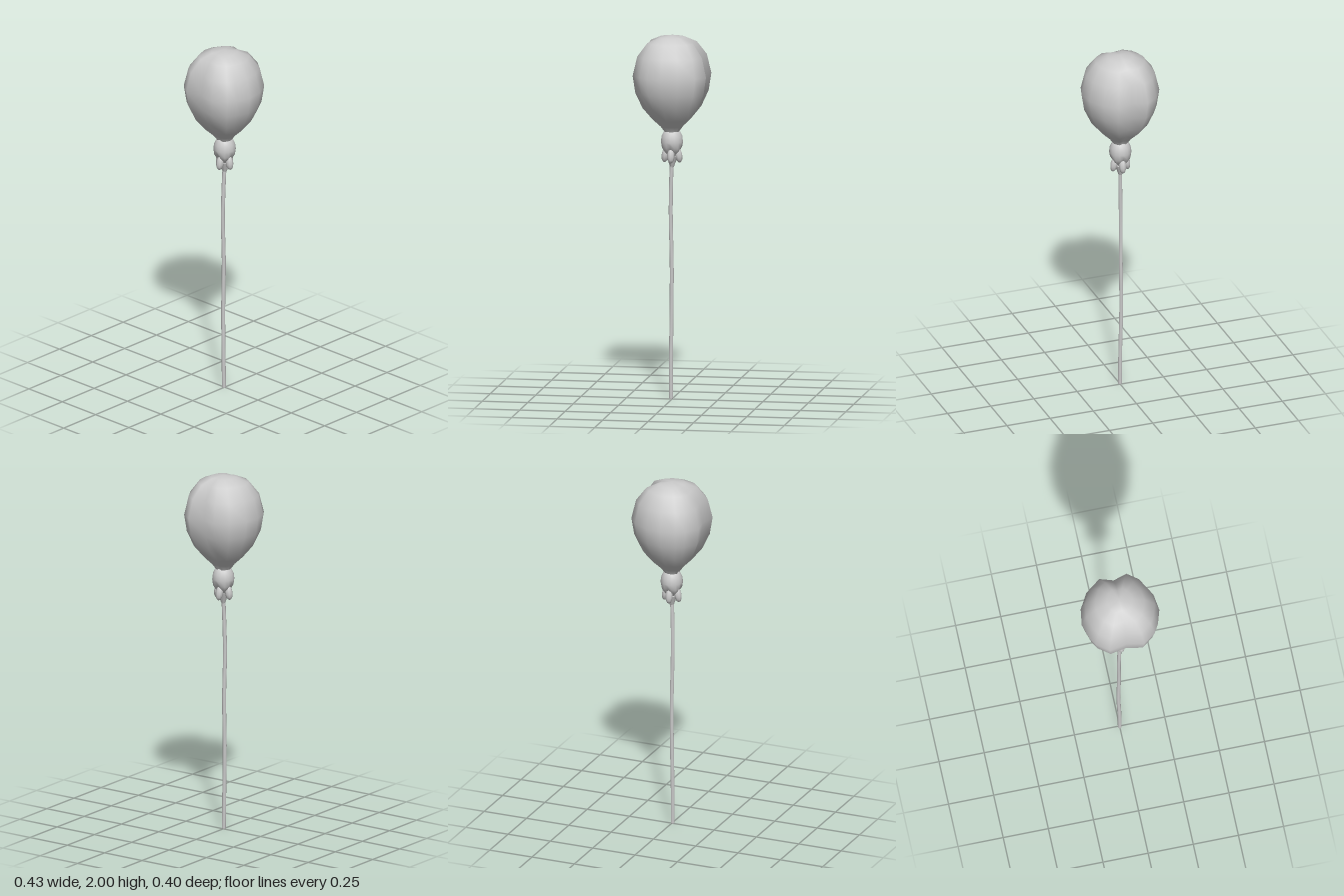
import * as THREE from 'three';
import { mergeVertices } from 'three/addons/utils/BufferGeometryUtils.js';

const material = new THREE.MeshStandardMaterial({ color: 0xcccccc });

function addMesh(parent, name, geometry) {
  const mesh = new THREE.Mesh(geometry, material);
  mesh.name = name;
  parent.add(mesh);
  return mesh;
}

// Lathe whose vertices are moved by a rule, with smooth normals across the seam
function shapedLathe(profile, sides, rule) {
  let g = new THREE.LatheGeometry(profile.map(([r, y]) => new THREE.Vector2(r, y)), sides);
  const p = g.attributes.position;
  const v = new THREE.Vector3();
  for (let i = 0; i < p.count; i++) {
    v.fromBufferAttribute(p, i);
    rule(v);
    p.setXYZ(i, v.x, v.y, v.z);
  }
  g.deleteAttribute('uv');
  g.deleteAttribute('normal');
  g = mergeVertices(g, 1e-5);
  g.computeVertexNormals();
  return g;
}

export function createModel() {
  const model = new THREE.Group();

  // Rounded head, narrowing to a neck, creased down the front and back
  const headProfile = [
    [0.03, 1.44], [0.04, 1.47], [0.062, 1.5], [0.105, 1.54], [0.16, 1.605], [0.2, 1.69],
    [0.215, 1.785], [0.19, 1.89], [0.135, 1.962], [0.07, 1.99], [0, 2],
  ];
  // Half outline from front to back at the widest level, as x and z
  const outline = [
    [0, 0.182], [0.095, 0.2], [0.163, 0.15], [0.19, 0.105], [0.215, 0.025],
    [0.202, -0.065], [0.152, -0.152], [0.085, -0.202], [0, -0.175],
  ];
  const outlineAt = (a) => {
    const t = Math.abs(a) / Math.PI * 8;
    const i = Math.min(7, Math.floor(t + 1e-4));
    const f = Math.max(0, t - i);
    const mix = (k) => outline[i][k] * (1 - f) + outline[i + 1][k] * f;
    return [Math.sign(a) * mix(0), mix(1)];
  };
  addMesh(model, 'head', shapedLathe(headProfile, 16, (v) => {
    const s = Math.hypot(v.x, v.z) / 0.215;
    const [x, z] = outlineAt(Math.atan2(v.x, v.z));
    v.x = x * s;
    v.z = z * s;
  }));

  // Bulb under the head, its lower rim drawn into four pointed flaps
  const bulbProfile = [
    [0, 1.29], [0.02, 1.345], [0.04, 1.365], [0.056, 1.39], [0.061, 1.415],
    [0.057, 1.445], [0.045, 1.47], [0.034, 1.478], [0, 1.478],
  ];
  addMesh(model, 'bulb', shapedLathe(bulbProfile, 16, (v) => {
    const r = Math.hypot(v.x, v.z);
    const point = Math.abs(Math.sin(2 * Math.atan2(v.x, v.z)));
    if (v.y < 1.4 && r > 0.01) v.y -= 0.018 * (point - 0.4);
  }));

  // Four drooping sepals around the base of the bulb
  for (let i = 0; i < 4; i++) {
    const sepal = new THREE.Group();
    sepal.name = 'sepal';
    sepal.rotation.y = i * Math.PI / 2;
    const lobe = addMesh(sepal, 'sepalLobe', new THREE.SphereGeometry(1, 8, 7));
    lobe.scale.set(0.021, 0.042, 0.021);
    lobe.position.set(0, 1.342, 0.036);
    lobe.rotation.x = -0.18;
    model.add(sepal);
  }

  // Small cone joining the sepals to the stem
  const collar = addMesh(model, 'collar', new THREE.CylinderGeometry(0.032, 0.01, 0.06, 8));
  collar.position.y = 1.305;

  // Slender, slightly wavering stem
  const path = new THREE.CatmullRomCurve3([
    [0, 0.005, 0.005], [-0.002, 0.2, 0.006], [-0.007, 0.45, 0.004], [-0.004, 0.75, 0.002],
    [-0.006, 1.0, 0.008], [-0.002, 1.2, 0.005], [0, 1.32, 0],
  ].map((p) => new THREE.Vector3(...p)));
  addMesh(model, 'stem', new THREE.TubeGeometry(path, 14, 0.011, 8));
  const foot = addMesh(model, 'stemEnd', new THREE.CylinderGeometry(0.011, 0.009, 0.008, 8));
  foot.position.set(0, 0.004, 0.005);

  return model;
}
